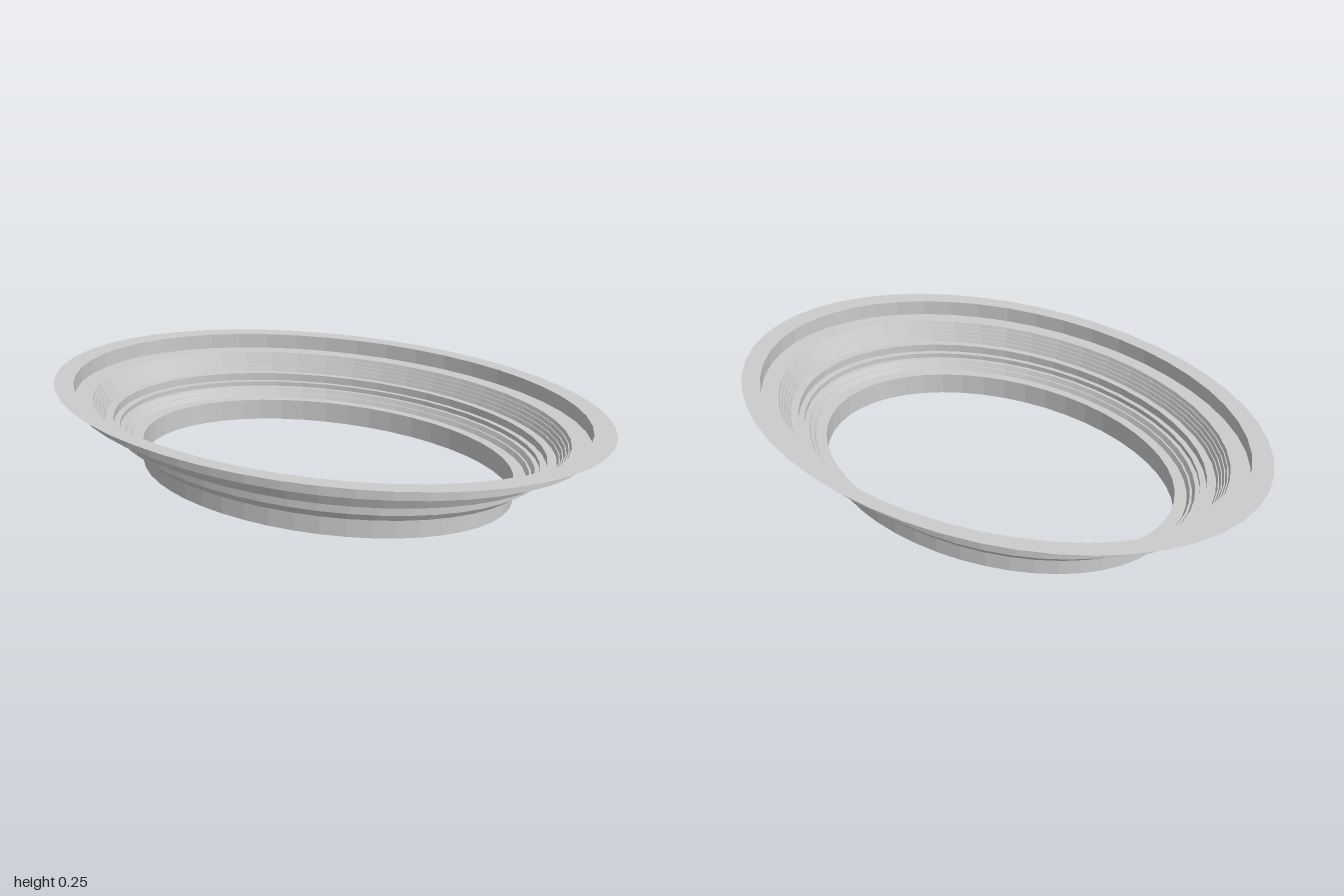
import * as THREE from 'three';

const ASPECT = 0.707; // oval width relative to its length
const SEGMENTS = 48;

export function createModel() {
  const model = new THREE.Group();
  model.name = 'ovalSteppedFrame';
  const material = new THREE.MeshStandardMaterial({
    color: 0xcccccc, flatShading: true, side: THREE.DoubleSide,
  });

  // Sweeps a [radius, height] profile around an oval
  function ring(name, profile) {
    const points = profile.map(([r, y]) => new THREE.Vector2(r, y));
    const geometry = new THREE.LatheGeometry(points, SEGMENTS);
    geometry.scale(ASPECT, 1, 1);
    const mesh = new THREE.Mesh(geometry, material);
    mesh.name = name;
    model.add(mesh);
  }

  // Thin flat flange, then the upright lip and its inner ledge
  ring('outerFlange', [[0.925, 0.25], [1, 0.25]]);
  ring('lipWall', [[0.925, 0.2], [0.925, 0.25]]);
  ring('lipLedge', [[0.855, 0.2], [0.925, 0.2]]);

  // Fine sloping ridges below the ledge
  const ridges = [];
  const count = 5;
  for (let i = 0; i < count; i++) {
    const r = 0.855 - i * 0.01;
    const y = 0.2 - i * 0.012;
    ridges.push([r, y], [r - 0.006, y - 0.012]);
  }
  ridges.push([0.805, 0.14]);
  ring('fineRidges', ridges.reverse());

  // Broader steps narrowing towards the throat
  ring('lowerSteps', [
    [0.667, 0.07], [0.71, 0.07], [0.72, 0.085], [0.728, 0.085],
    [0.738, 0.1], [0.755, 0.1], [0.755, 0.115], [0.778, 0.115],
    [0.778, 0.14], [0.805, 0.14],
  ]);

  // Upright throat around the opening
  ring('throatWall', [[0.667, 0], [0.667, 0.07]]);

  return model;
}
